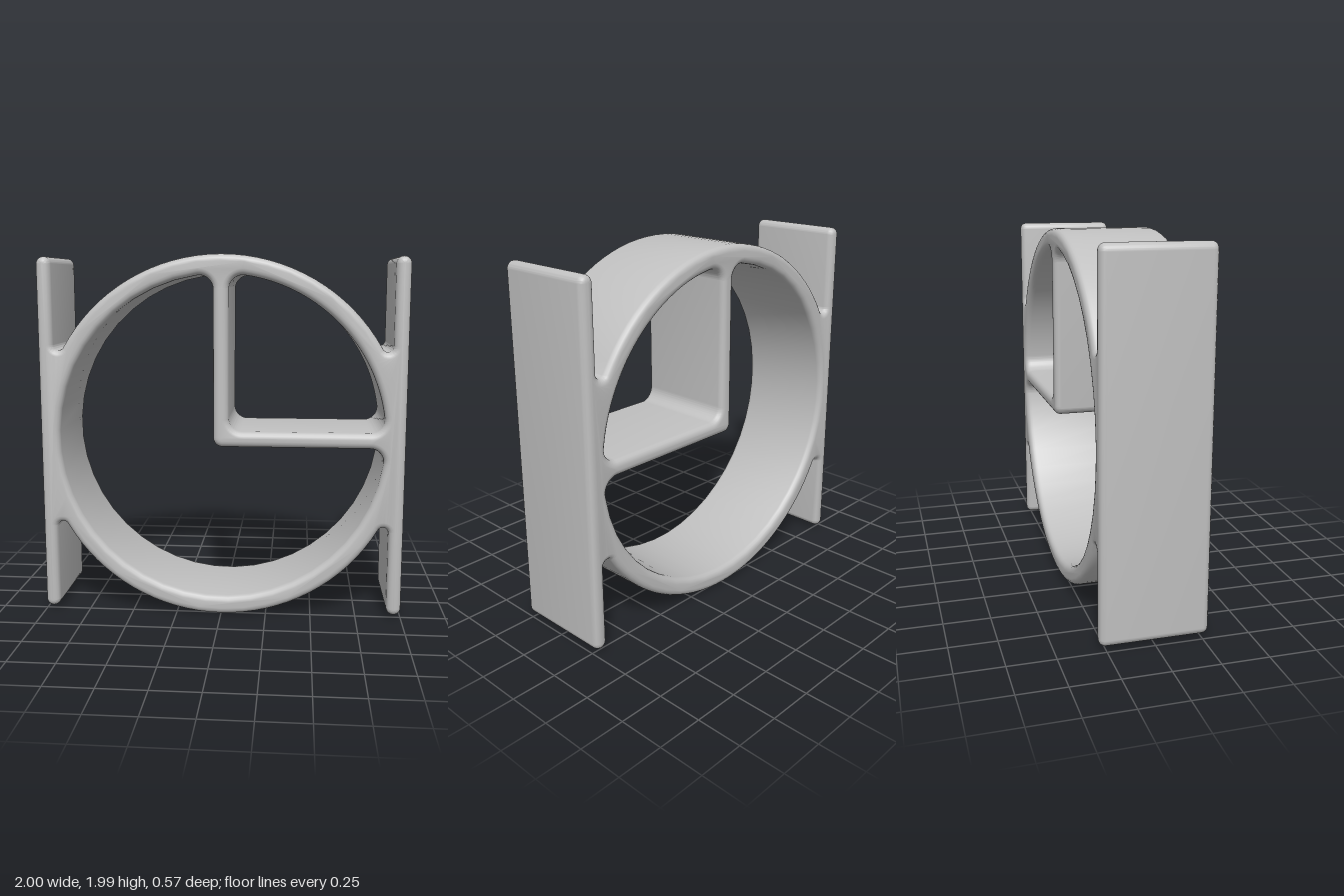
import * as THREE from 'three';
import { toCreasedNormals } from 'three/addons/utils/BufferGeometryUtils.js';

const PI = Math.PI;
const CY = 1.002;        // ring centre height
const R_OUT = 0.996;     // ring outer radius
const R_IN = 0.893;      // ring inner radius
const DEPTH = 0.57;      // full depth along z
const ROUND = 0.034;     // rounding of the front and back edges

// Outer silhouette: two upright plates fused to the ring with small fillets
function outline() {
  const s = new THREE.Shape();
  const px = 0.96, pr = 0.04, low = 0.065, high = 1.945, f = 0.03;
  const cx = px - pr - f;
  const h = Math.sqrt((R_OUT + f) ** 2 - cx ** 2);
  const a = Math.atan2(h, cx);
  s.absarc(px, low, pr, PI, 2 * PI, false);
  s.absarc(px, high, pr, 0, PI, false);
  s.absarc(cx, CY + h, f, 0, a - PI, true);
  s.absarc(0, CY, R_OUT, a, PI - a, false);
  s.absarc(-cx, CY + h, f, -a, -PI, true);
  s.absarc(-px, high, pr, 0, PI, false);
  s.absarc(-px, low, pr, PI, 2 * PI, false);
  s.absarc(-cx, CY - h, f, PI, a, true);
  s.absarc(0, CY, R_OUT, PI + a, 2 * PI - a, false);
  s.absarc(cx, CY - h, f, PI - a, 0, true);
  s.closePath();
  return s;
}

// Distance along one axis of a fillet centre that touches the ring from inside
const reach = (offset, f) => Math.sqrt((R_IN - f) ** 2 - offset ** 2);

// Quarter opening above the level bar and beside the upright bar
function quarterHole(x0, y0, f) {
  const p = new THREE.Path();
  const fx = x0 + f, fy = y0 + f;
  const rx = reach(fy - CY, f), ty = reach(fx, f);
  const b = Math.atan2(fy - CY, rx), d = Math.atan2(ty, fx);
  p.absarc(fx, fy, f, PI, 1.5 * PI, false);
  p.absarc(rx, fy, f, -PI / 2, b, false);
  p.absarc(0, CY, R_IN, b, d, false);
  p.absarc(fx, CY + ty, f, d, PI, false);
  p.closePath();
  return p;
}

// Remaining three-quarter opening around the elbow of the bars
function largeHole(x0, y0, f, elbow) {
  const p = new THREE.Path();
  const fx = x0 - f, fy = y0 - f;
  const ty = reach(fx, f), rx = reach(fy - CY, f);
  const d = Math.atan2(ty, fx), e = Math.atan2(fy - CY, rx);
  p.absarc(fx, CY + ty, f, 0, d, false);
  p.absarc(0, CY, R_IN, d, 2 * PI + e, false);
  p.absarc(rx, fy, f, e, PI / 2, false);
  p.absarc(x0 + elbow, y0 + elbow, elbow, -PI / 2, -PI, true);
  p.closePath();
  return p;
}

export function createModel() {
  const grey = new THREE.MeshStandardMaterial({ color: 0xc0c0c0 });
  grey.name = 'light grey';

  const shape = outline();
  shape.holes.push(quarterHole(0.042, 1.045, 0.075), largeHole(-0.042, 0.96, 0.075, 0.05));

  // One fused body with rounded front and back edges
  const geometry = new THREE.ExtrudeGeometry(shape, {
    depth: DEPTH - 2 * ROUND,
    curveSegments: 16,
    bevelEnabled: true,
    bevelSize: ROUND,
    bevelOffset: -ROUND,
    bevelThickness: ROUND,
    bevelSegments: 4,
  });
  geometry.translate(0, 0, -(DEPTH - 2 * ROUND) / 2);

  const frame = new THREE.Mesh(toCreasedNormals(geometry, 0.7), grey);
  frame.name = 'ringFrameWithPlatesAndElbowBar';

  const model = new THREE.Group();
  model.name = 'ringFrame';
  model.add(frame);
  return model;
}
